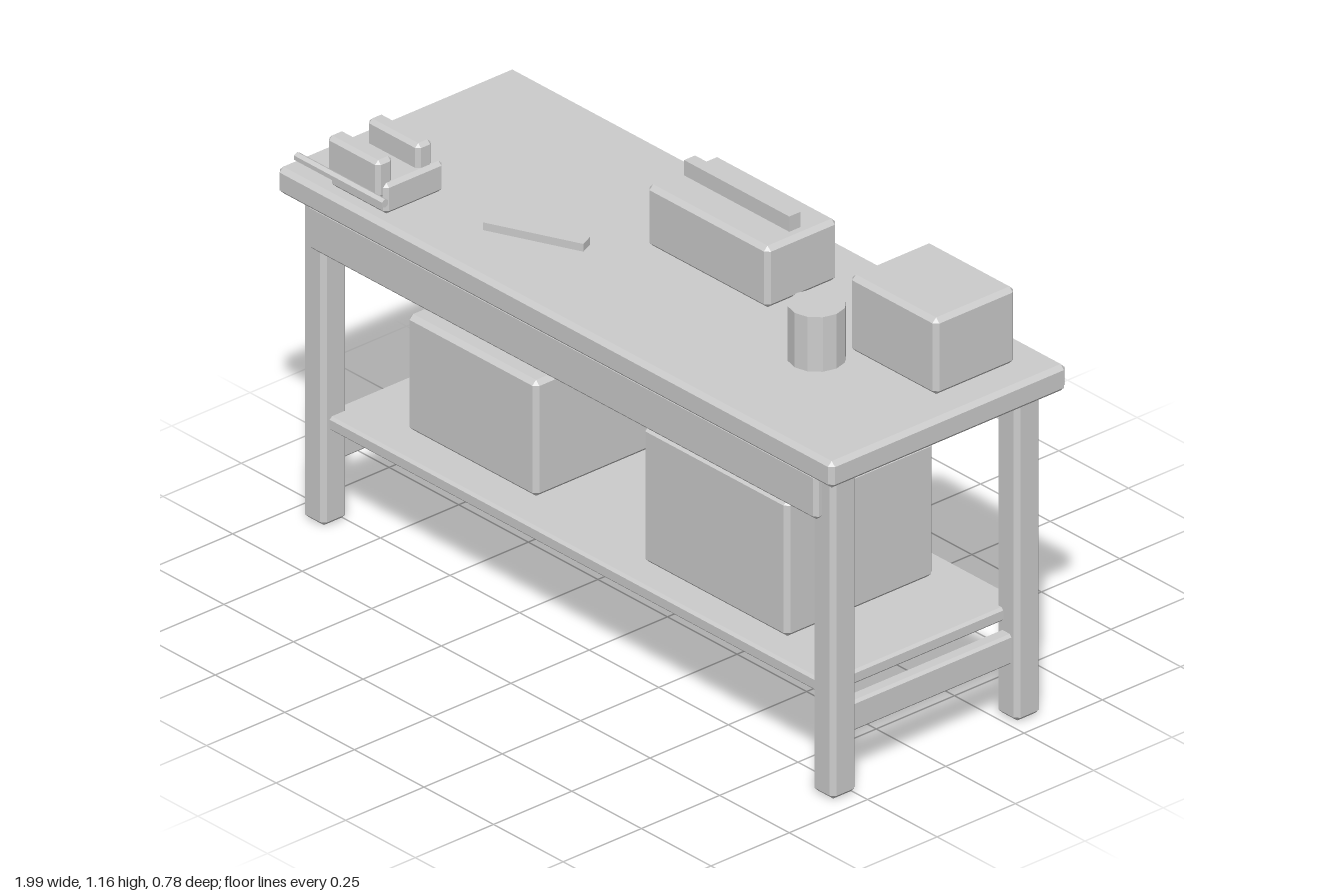
import * as THREE from 'three';
import { ConvexGeometry } from 'three/addons/geometries/ConvexGeometry.js';

// Box with chamfered edges, given by its min/max along each axis
function chamferBox([x0, x1], [y0, y1], [z0, z1], b) {
  const h = [(x1 - x0) / 2, (y1 - y0) / 2, (z1 - z0) / 2];
  const pts = [];
  for (const sx of [-1, 1]) for (const sy of [-1, 1]) for (const sz of [-1, 1]) {
    for (let axis = 0; axis < 3; axis++) {
      const p = h.map((v, i) => (i === axis ? v : v - b));
      pts.push(new THREE.Vector3(sx * p[0], sy * p[1], sz * p[2]));
    }
  }
  const geo = new ConvexGeometry(pts);
  geo.translate((x0 + x1) / 2, (y0 + y1) / 2, (z0 + z1) / 2);
  return geo;
}

export function createModel() {
  const group = new THREE.Group();
  const grey = new THREE.MeshStandardMaterial({ color: 0xcccccc, flatShading: true });
  grey.name = 'plain grey';

  const add = (name, geo) => {
    const mesh = new THREE.Mesh(geo, grey);
    mesh.name = name;
    group.add(mesh);
    return mesh;
  };
  const block = (name, x, y, z, b = 0.012) => add(name, chamferBox(x, y, z, b));

  // Bench frame
  const top = 0.95, shelfTop = 0.295;
  block('tabletop', [-0.997, 0.997], [0.878, top], [-0.392, 0.363]);
  for (const s of [-1, 1]) {
    const side = s > 0 ? 'left' : 'right';
    const x = s * 0.915;
    block(side + 'FrontLeg', [x - 0.039, x + 0.039], [0, 0.878], [0.24, 0.32]);
    block(side + 'BackLeg', [x - 0.039, x + 0.039], [0, 0.878], [-0.348, -0.268]);
    block(side + 'Stretcher', [x - 0.02, x + 0.02], [0.152, 0.234], [-0.3, 0.272], 0.007);
  }
  block('frontApron', [-0.915, 0.915], [0.752, 0.876], [0.3, 0.339], 0.01);
  block('shelf', [-0.905, 0.905], [0.257, shelfTop], [-0.33, 0.3], 0.007);

  // Crates on the shelf
  block('smallCrate', [-0.708, -0.243], [shelfTop, 0.61], [-0.212, 0.205]);
  block('largeCrate', [0.158, 0.679], [shelfTop, 0.665], [-0.25, 0.222]);

  // Objects on the tabletop
  block('storageBox', [0.6, 0.912], [top, 1.158], [-0.304, -0.046]);
  block('toolbox', [-0.115, 0.32], [top, 1.117], [-0.262, -0.034]);
  const grip = add('toolboxHandle', new THREE.BoxGeometry(0.378, 0.045, 0.035));
  grip.position.set(0.102, 1.136, -0.148);

  const can = add('can', new THREE.CylinderGeometry(0.071, 0.071, 0.148, 12));
  can.position.set(0.576, top + 0.074, 0.035);

  const tool = add('handTool', new THREE.BoxGeometry(0.263, 0.022, 0.038));
  tool.position.set(-0.319, top + 0.01, 0.135);
  tool.rotation.y = 0.42;

  // Vise
  block('viseBase', [-0.84, -0.637], [top, 1.033], [0.146, 0.333], 0.01);
  block('viseFrontJaw', [-0.832, -0.647], [0.994, 1.097], [0.299, 0.35], 0.01);
  block('viseBackJaw', [-0.832, -0.647], [0.994, 1.097], [0.173, 0.222], 0.01);
  const bar = new THREE.CylinderGeometry(0.0115, 0.0115, 0.316, 6);
  bar.rotateY(Math.PI / 6).rotateZ(Math.PI / 2);
  add('viseHandle', bar).position.set(-0.742, 1.024, 0.383);

  return group;
}
